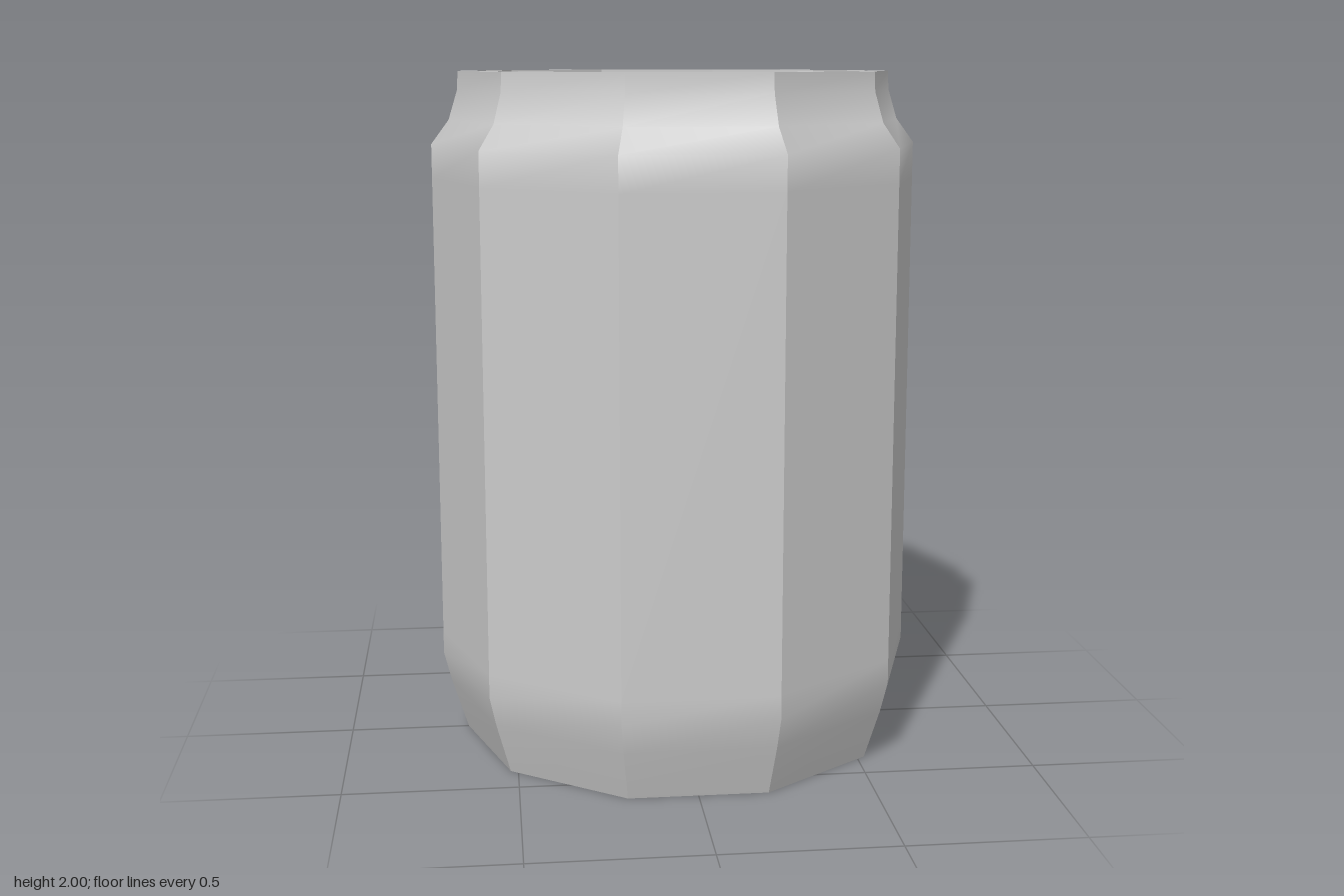
import * as THREE from 'three';
import { mergeGeometries } from 'three/addons/utils/BufferGeometryUtils.js';

const SIDES = 10;

// One flat facet per side: smooth along the profile, sharp between sides.
function facetedLathe(profile) {
  const facets = [];
  for (let i = 0; i < SIDES; i++) {
    const positions = [], index = [];
    profile.forEach(([r, y], k) => {
      for (const j of [i, i + 1]) {
        const a = (j / SIDES) * Math.PI * 2;
        positions.push(r * Math.cos(a), y, r * Math.sin(a));
      }
      if (k > 0) {
        const b = 2 * k;
        index.push(b - 2, b, b - 1, b, b + 1, b - 1);
      }
    });
    const g = new THREE.BufferGeometry();
    g.setAttribute('position', new THREE.Float32BufferAttribute(positions, 3));
    g.setIndex(index);
    g.computeVertexNormals();
    facets.push(g);
  }
  return mergeGeometries(facets);
}

export function createModel() {
  const group = new THREE.Group();
  group.name = 'can';
  const material = new THREE.MeshStandardMaterial({ color: 0xcccccc });

  // Profiles as [radius, height]; separate parts keep their edges sharp.
  const parts = {
    // tapered foot, straight wall, shoulder and neck
    body: [[0.645, 0], [0.693, 0.15], [0.716, 0.24], [0.716, 0.31], [0.716, 1.69],
      [0.716, 1.79], [0.664, 1.86], [0.638, 1.945], [0.635, 2]],
    rim: [[0.635, 2], [0.585, 2]],
    rimInnerWall: [[0.585, 2], [0.585, 1.92]],
    lid: [[0.585, 1.92], [0, 1.92]],
    base: [[0, 0], [0.645, 0]],
  };
  for (const [name, profile] of Object.entries(parts)) {
    const mesh = new THREE.Mesh(facetedLathe(profile), material);
    mesh.name = name;
    group.add(mesh);
  }
  return group;
}
